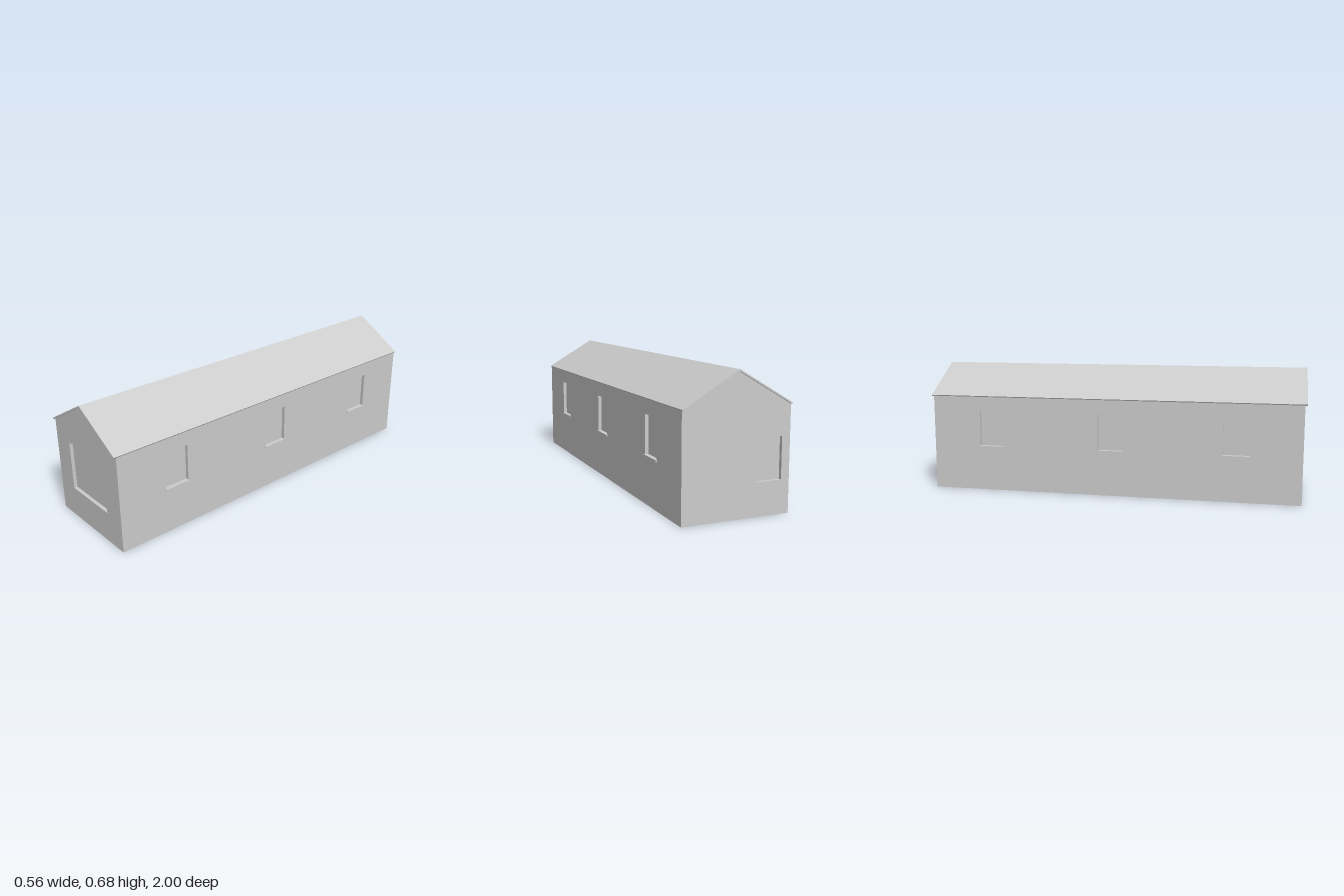
import * as THREE from 'three';

const W = 0.272, L = 0.988;           // half width and half length of the walls
const EAVE = 0.51, RIDGE = 0.667;     // wall height at the sides and at the gable tip
const DEPTH = 0.018;                  // how far the windows are set back

const material = new THREE.MeshStandardMaterial({ color: 0xcccccc, flatShading: true, side: THREE.DoubleSide });

function addMesh(parent, name, geometry) {
  const mesh = new THREE.Mesh(geometry, material);
  mesh.name = name;
  parent.add(mesh);
  return mesh;
}

// Thin wall facing local +z, with a recessed pocket for each window [x0, x1, y0, y1]
function makeWall(name, outline, windows) {
  const wall = new THREE.Group();
  wall.name = name;
  const shape = new THREE.Shape(outline.map(([x, y]) => new THREE.Vector2(x, y)));
  for (const [x0, x1, y0, y1] of windows) {
    shape.holes.push(new THREE.Path([[x0, y0], [x0, y1], [x1, y1], [x1, y0]].map(([x, y]) => new THREE.Vector2(x, y))));
    // Box without its front face: reveals plus pane
    const pocket = new THREE.BoxGeometry(x1 - x0, y1 - y0, DEPTH);
    const index = Array.from(pocket.index.array);
    index.splice(24, 6);
    pocket.setIndex(index);
    pocket.clearGroups();
    pocket.translate((x0 + x1) / 2, (y0 + y1) / 2, -DEPTH / 2);
    addMesh(wall, 'windowRecess', pocket);
  }
  addMesh(wall, 'wallPanel', new THREE.ShapeGeometry(shape));
  return wall;
}

export function createModel() {
  const house = new THREE.Group();
  house.name = 'house';

  // Gable walls
  const gable = [[-W, 0], [W, 0], [W, EAVE], [0, RIDGE], [-W, EAVE]];
  const front = makeWall('frontWall', gable, [[-0.154, 0.153, 0.163, 0.422]]);
  front.position.z = L;
  const back = makeWall('backWall', gable, [[0.103, 0.23, 0.162, 0.363]]);
  back.position.z = -L;
  back.rotation.y = Math.PI;
  house.add(front, back);

  // Long side walls, three windows each with a projecting sill
  const centres = [-0.657, 0, 0.657];
  for (const side of [-1, 1]) {
    const wall = makeWall(side > 0 ? 'leftWall' : 'rightWall',
      [[-L, 0], [L, 0], [L, EAVE], [-L, EAVE]],
      centres.map((c) => [c - 0.067, c + 0.067, 0.242, 0.437]));
    wall.position.x = side * W;
    wall.rotation.y = side * Math.PI / 2;
    for (const c of centres) {
      const sill = addMesh(wall, 'windowSill', new THREE.BoxGeometry(0.146, 0.009, DEPTH + 0.006));
      sill.position.set(c, 0.2378, (0.006 - DEPTH) / 2);
    }
    house.add(wall);
  }

  // Thin pitched roof, eaves cut square to the slope
  const profile = [[0, RIDGE], [0.2705, 0.509], [0.274, 0.515], [0, 0.6755], [-0.274, 0.515], [-0.2705, 0.509]];
  const roofShape = new THREE.Shape(profile.map(([x, y]) => new THREE.Vector2(x, y)));
  const roof = addMesh(house, 'roof', new THREE.ExtrudeGeometry(roofShape, { depth: 2, bevelEnabled: false }));
  roof.position.z = -1;

  return house;
}
